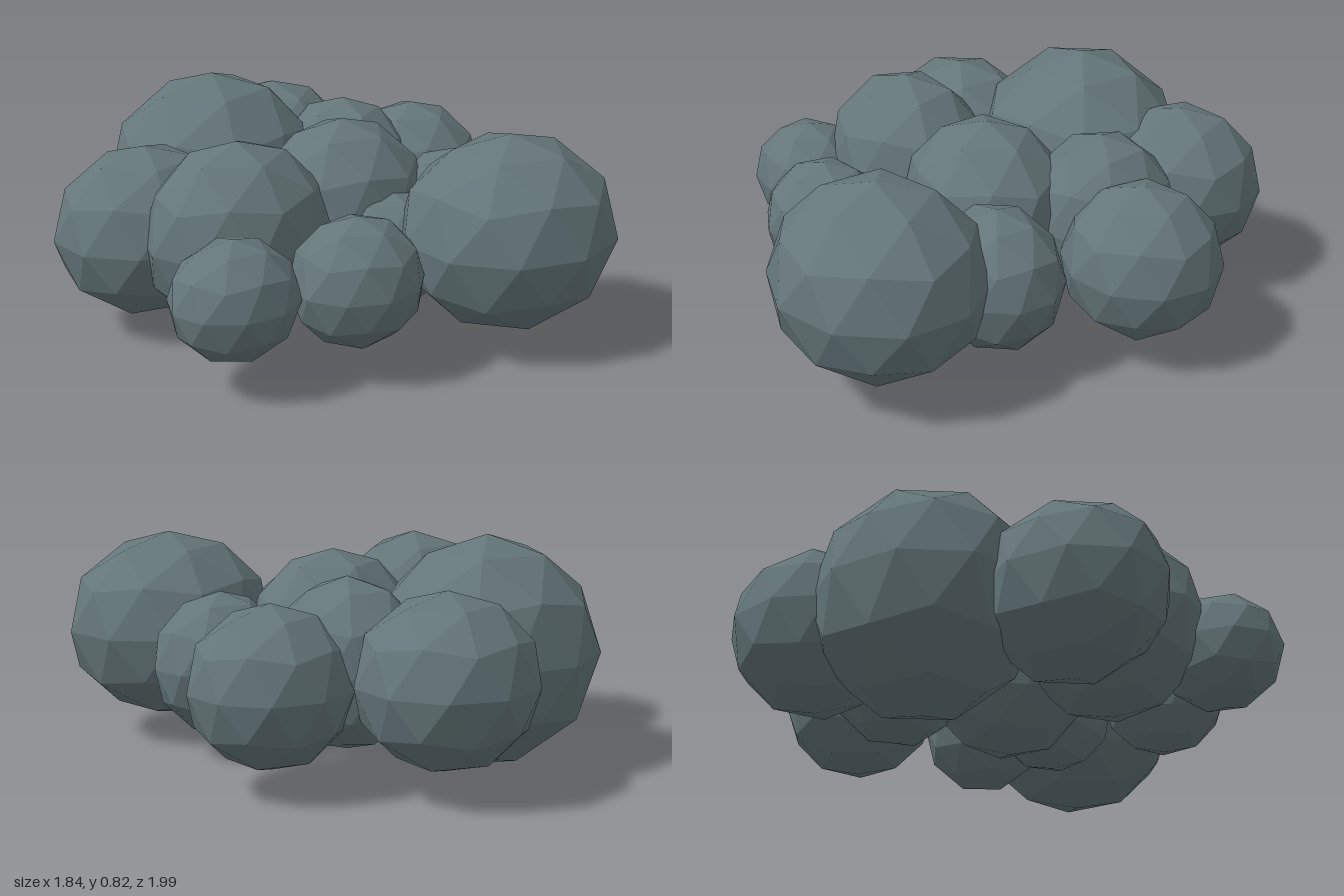
import * as THREE from 'three';

const rock = new THREE.MeshStandardMaterial({ color: 0x647679, flatShading: true });
rock.name = 'slate grey';

// name, centre x y z, radii x y z, turn about y in degrees
const lumps = [
  ['frontRightLump', 0.34, 0.42, 0.63, 0.40, 0.35, 0.37, 180],
  ['backCentreLump', -0.12, 0.41, -0.53, 0.42, 0.41, 0.39, 0],
  ['backRightLump', 0.28, 0.39, -0.69, 0.32, 0.30, 0.31, 24],
  ['backLeftLump', -0.58, 0.37, -0.27, 0.35, 0.31, 0.31, 3],
  ['centreLeftLump', -0.42, 0.41, 0.07, 0.35, 0.34, 0.30, 18],
  ['centreLump', 0.07, 0.40, 0.03, 0.34, 0.335, 0.30, 40],
  ['rightLump', 0.64, 0.36, -0.24, 0.29, 0.28, 0.28, 30],
  ['backInnerLump', 0.33, 0.40, -0.29, 0.27, 0.30, 0.28, 10],
  ['rightSmallLump', 0.44, 0.34, 0.23, 0.26, 0.26, 0.23, 0],
  ['frontLeftSmallLump', -0.65, 0.33, 0.38, 0.23, 0.21, 0.21, 50],
  ['frontSmallLump', -0.25, 0.34, 0.52, 0.24, 0.23, 0.22, 28],
  ['frontInnerLump', 0.10, 0.30, 0.27, 0.23, 0.22, 0.22, 15],
];

export function createModel() {
  const group = new THREE.Group();
  group.name = 'boulderCluster';

  for (const [name, x, y, z, rx, ry, rz, turn] of lumps) {
    // Faceted ball with one corner straight up, turned, then squashed
    const geometry = new THREE.IcosahedronGeometry(1, 1);
    geometry.rotateZ(Math.atan(2 / (1 + Math.sqrt(5))));
    geometry.rotateY(THREE.MathUtils.degToRad(turn));
    geometry.scale(rx, ry, rz);
    geometry.computeVertexNormals();
    const lump = new THREE.Mesh(geometry, rock);
    lump.name = name;
    lump.position.set(x, y, z);
    group.add(lump);
  }
  return group;
}
